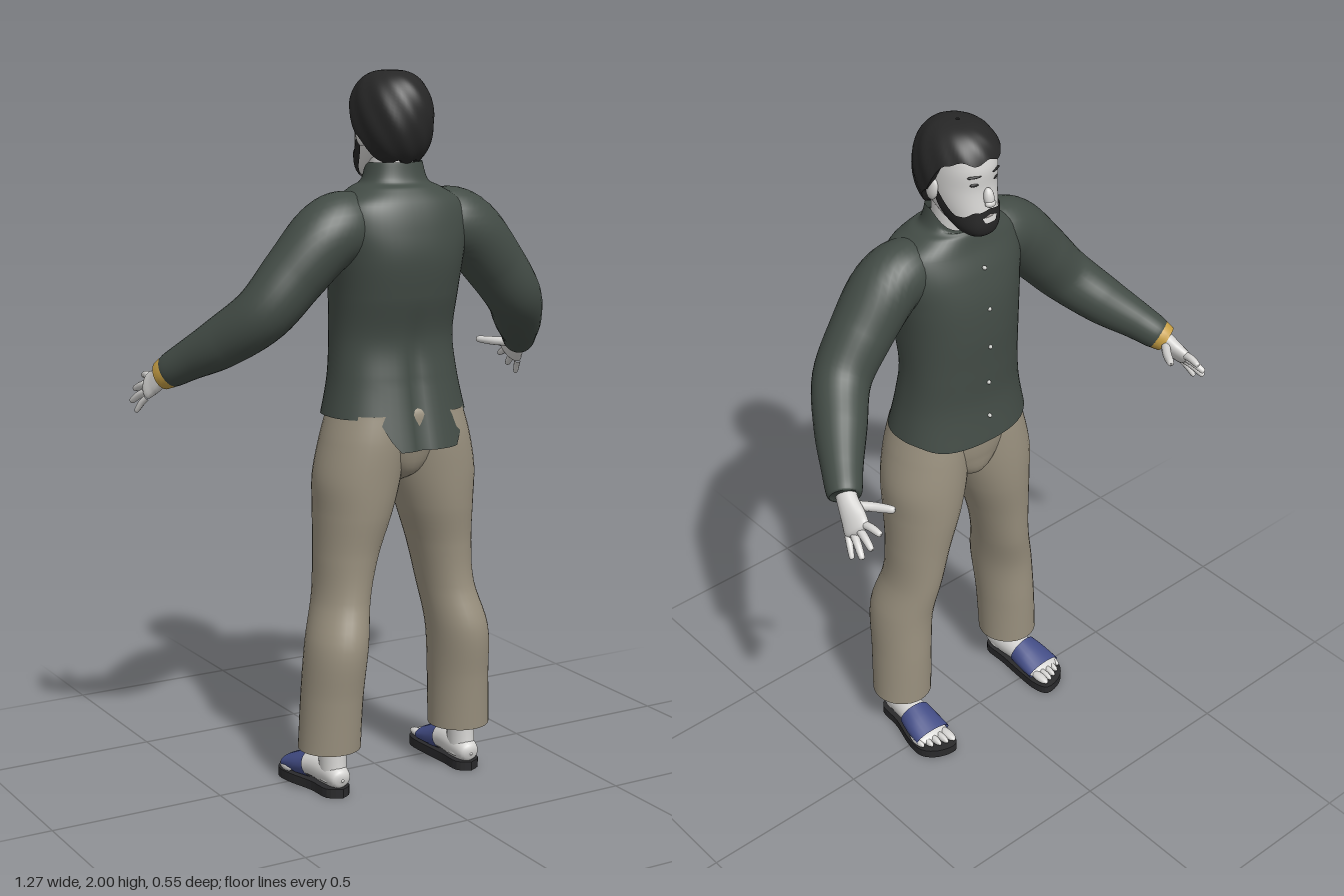
import * as THREE from 'three';
import { ParametricGeometry } from 'three/addons/geometries/ParametricGeometry.js';

const mat = (name, color, side = THREE.FrontSide) => {
  const m = new THREE.MeshStandardMaterial({ color, side });
  m.name = name;
  return m;
};
const X = new THREE.Vector3(1, 0, 0), Y = new THREE.Vector3(0, 1, 0);
const clamp = THREE.MathUtils.clamp, smooth = THREE.MathUtils.smoothstep;

// Smooth interpolation of cross-section rows [x, y, z, radiusU, radiusV]
function rowAt(rows, t) {
  const n = rows.length - 1, f = clamp(t, 0, 1) * n, i = Math.min(Math.floor(f), n - 1), k = f - i;
  const a = rows[Math.max(i - 1, 0)], b = rows[i], c = rows[i + 1], d = rows[Math.min(i + 2, n)];
  return b.map((_, j) => 0.5 * (2 * b[j] + (c[j] - a[j]) * k + (2 * a[j] - 5 * b[j] + 4 * c[j] - d[j]) * k * k
    + (3 * b[j] - a[j] - 3 * c[j] + d[j]) * k * k * k));
}

// Surface through the rows: level sections, or sections square to the path when an axis is given
function skin(rows, { axis = null, power = 2, warp = null } = {}) {
  return (u, v, out) => {
    const r = rowAt(rows, v), d = Y.clone();
    if (axis) {
      const p = rowAt(rows, v - 0.03), q = rowAt(rows, v + 0.03);
      d.set(q[0] - p[0], q[1] - p[1], q[2] - p[2]).normalize();
    }
    const a = (axis || X).clone();
    a.addScaledVector(d, -a.dot(d)).normalize();
    const b = d.clone().cross(a), th = u * Math.PI * 2, c = Math.cos(th), s = Math.sin(th);
    const k = Math.pow(Math.abs(c) ** power + Math.abs(s) ** power, -1 / power);
    out.set(r[0], r[1], r[2]).addScaledVector(a, c * k * r[3]).addScaledVector(b, s * k * r[4]);
    if (warp) warp(out, u, v);
  };
}

export function createModel() {
  const model = new THREE.Group();
  model.name = 'standingMan';
  const M = {
    shirt: mat('shirt green grey', 0x434c46, THREE.DoubleSide),
    pants: mat('trouser khaki', 0x9a917f, THREE.DoubleSide),
    skin: mat('skin', 0xd6d5d3),
    hair: mat('hair black', 0x272727, THREE.DoubleSide),
    sole: mat('sole black', 0x2a2a2c),
    strap: mat('strap blue', 0x434d86, THREE.DoubleSide),
    gold: mat('bracelet gold', 0xc79f45, THREE.DoubleSide),
    button: mat('button pale', 0xc8cac6),
    lip: mat('lip grey', 0xa39c9a),
  };
  const add = (name, geo, material) => {
    const m = new THREE.Mesh(geo, material);
    m.name = name;
    model.add(m);
    return m;
  };
  const loft = (name, rows, material, seg, stacks, opt) =>
    add(name, new ParametricGeometry(skin(rows, opt), seg, stacks), material);
  const blob = (name, x, y, z, rx, ry, rz, material) => {
    const m = add(name, new THREE.SphereGeometry(1, 14, 10), material);
    m.position.set(x, y, z);
    m.scale.set(rx, ry, rz);
    return m;
  };

  // Shirt body with a long tail at the back and a collar that dips in front
  loft('shirtBody', [
    [0, 1.07, 0.10, 0.208, 0.15], [0, 1.17, 0.096, 0.188, 0.133], [0, 1.28, 0.088, 0.178, 0.128],
    [0, 1.40, 0.10, 0.182, 0.145], [0, 1.50, 0.11, 0.193, 0.15], [0, 1.58, 0.115, 0.205, 0.137],
    [0, 1.645, 0.118, 0.19, 0.115], [0, 1.685, 0.11, 0.13, 0.095], [0, 1.705, 0.102, 0.095, 0.078],
    [0, 1.755, 0.098, 0.08, 0.07],
  ], M.shirt, 56, 60, {
    power: 2.3,
    warp: (p) => {
      const low = clamp((1.17 - p.y) / 0.1, 0, 1), back = smooth(p.z, 0.16, 0.2);
      const wide = 1 - smooth(Math.abs(p.x - 0.02), 0.09, 0.15);
      if (p.z > 0.15) p.z -= 0.014 * Math.exp(-((p.x / 0.025) ** 2)) * (1 - smooth(p.y, 1.1, 1.4));
      p.z += 0.022 * low * back * wide;
      p.y -= low * (0.088 * back * wide + 0.02 * smooth(-p.z, -0.05, 0.03));
      p.y -= 0.05 * smooth(p.y, 1.69, 1.755) * smooth(-p.z, -0.11, -0.03);
    },
  });
  for (const [y, z] of [[1.6, -0.021], [1.48, -0.041], [1.36, -0.045], [1.24, -0.039], [1.13, -0.044]])
    blob('shirtButton', 0, y, z, 0.006, 0.006, 0.007, M.button);

  // Trouser seat joining both legs
  loft('trouserSeat', [
    [0, 0.875, 0.10, 0.01, 0.03], [0, 0.91, 0.10, 0.07, 0.10], [0, 0.98, 0.105, 0.16, 0.125],
    [0, 1.05, 0.108, 0.195, 0.135], [0, 1.10, 0.10, 0.18, 0.125], [0, 1.12, 0.10, 0.01, 0.01],
  ], M.pants, 36, 20);

  for (const s of [-1, 1]) {
    const side = s > 0 ? 'left' : 'right';
    const flip = (rows) => rows.map(([x, ...rest]) => [x * s, ...rest]);

    // Trouser leg
    loft(side + 'TrouserLeg', flip([
      [0.214, 0.13, 0.115, 0.088, 0.09], [0.208, 0.28, 0.12, 0.085, 0.098], [0.197, 0.43, 0.128, 0.084, 0.107],
      [0.170, 0.56, 0.105, 0.077, 0.102], [0.152, 0.68, 0.10, 0.088, 0.108], [0.132, 0.80, 0.103, 0.108, 0.124],
      [0.12, 0.90, 0.106, 0.121, 0.131], [0.106, 1.0, 0.11, 0.114, 0.132], [0.095, 1.08, 0.11, 0.10, 0.125],
    ]), M.pants, 32, 40);

    // Sleeve
    loft(side + 'Sleeve', flip([
      [0.08, 1.59, 0.12, 0.06, 0.06], [0.15, 1.59, 0.12, 0.095, 0.09], [0.225, 1.56, 0.123, 0.098, 0.094],
      [0.315, 1.465, 0.115, 0.088, 0.088], [0.40, 1.365, 0.095, 0.08, 0.08], [0.475, 1.285, 0.01, 0.072, 0.07],
      [0.535, 1.23, -0.07, 0.057, 0.055], [0.572, 1.193, -0.125, 0.047, 0.045], [0.570, 1.195, -0.122, 0.03, 0.03],
    ]), M.shirt, 28, 48, { axis: new THREE.Vector3(s * 0.41, -0.74, 0.53) });

    // Hand, fingers spread from the knuckle line
    const spread = new THREE.Vector3(s * 0.41, -0.74, 0.53);
    loft(side + 'Palm', flip([
      [0.55, 1.215, -0.09, 0.033, 0.028], [0.575, 1.188, -0.14, 0.031, 0.025], [0.588, 1.16, -0.18, 0.04, 0.022],
      [0.60, 1.14, -0.21, 0.041, 0.017], [0.604, 1.133, -0.22, 0.004, 0.003],
    ]), M.skin, 18, 16, { axis: spread });
    const digit = (name, a, b, c, r) => loft(name, flip([
      [...a, r, r], [...b, r, r], [...c, r * 0.75, r * 0.75],
      [...c.map((e, i) => e + (c[i] - b[i]) * 0.12), r * 0.05, r * 0.05],
    ]), M.skin, 10, 10, { axis: spread });
    [[0.58, 1.16, -0.28], [0.608, 1.125, -0.277], [0.626, 1.095, -0.26], [0.63, 1.073, -0.222]].forEach((tip, i) => {
      const k = (i - 1.5) * 0.021;
      const base = [0.6 + 0.41 * k, 1.138 - 0.74 * k, -0.203 + 0.53 * k];
      const mid = base.map((e, j) => (e + tip[j]) / 2 + (j === 1 ? 0.004 : 0));
      digit(side + 'Finger', base, mid, tip, i === 3 ? 0.009 : 0.011);
    });
    digit(side + 'Thumb', [0.57, 1.178, -0.16], [0.535, 1.178, -0.2], [0.507, 1.18, -0.243], 0.013);

    // Ankle, foot and toes
    loft(side + 'Ankle', flip([
      [0.213, 0.04, 0.135, 0.037, 0.048], [0.213, 0.10, 0.13, 0.037, 0.046], [0.21, 0.2, 0.125, 0.042, 0.05],
    ]), M.skin, 18, 8);
    loft(side + 'Foot', flip([
      [0.213, 0.05, 0.19, 0.004, 0.004], [0.213, 0.052, 0.178, 0.03, 0.028], [0.214, 0.06, 0.12, 0.04, 0.042],
      [0.22, 0.06, 0.05, 0.044, 0.038], [0.225, 0.046, 0, 0.051, 0.027], [0.227, 0.04, -0.045, 0.053, 0.016],
      [0.227, 0.038, -0.06, 0.03, 0.006],
    ]), M.skin, 20, 28, { axis: X });
    for (let i = 0; i < 5; i++)
      blob(side + 'Toe', s * (0.19 + i * 0.0215), 0.04 - i * 0.001, -0.068 + i * i * 0.0024,
        i ? 0.0105 : 0.015, 0.012, i ? 0.033 : 0.037, M.skin);

    // Sandal: shaped sole and a broad strap
    const outline = new THREE.Shape(new THREE.SplineCurve([
      [0.213, -0.192], [0.252, -0.165], [0.26, -0.09], [0.284, 0], [0.284, 0.06], [0.245, 0.098],
      [0.19, 0.108], [0.17, 0.07], [0.17, 0], [0.176, -0.09], [0.178, -0.165], [0.213, -0.192],
    ].map(([x, y]) => new THREE.Vector2(x * s, y))).getPoints(44));
    const sole = new THREE.ExtrudeGeometry(outline, { depth: 0.026, bevelEnabled: false });
    add(side + 'SandalSole', sole.rotateX(-Math.PI / 2), M.sole);
    loft(side + 'SandalStrap', flip([
      [0.221, 0.062, 0.05, 0.05, 0.043], [0.225, 0.052, 0.005, 0.057, 0.036], [0.227, 0.043, -0.045, 0.06, 0.024],
    ]), M.strap, 24, 10, { axis: X });

    // Ear, eye and brow
    blob(side + 'Ear', s * 0.091, 1.83, 0.082, 0.012, 0.034, 0.021, M.skin).rotation.x = -0.2;
    blob(side + 'Eye', s * 0.034, 1.862, -0.021, 0.014, 0.0055, 0.005, M.hair).rotation.y = s * -0.3;
    blob(side + 'Brow', s * 0.036, 1.885, -0.022, 0.021, 0.004, 0.005, M.hair).rotation.y = s * -0.35;
  }

  // Bracelet on the right wrist
  loft('bracelet', [[-0.567, 1.198, -0.117, 0.047, 0.045], [-0.577, 1.188, -0.132, 0.046, 0.043],
    [-0.586, 1.179, -0.146, 0.042, 0.038]], M.gold, 24, 4, { axis: new THREE.Vector3(-0.41, -0.74, 0.53) });

  // Neck and head
  loft('neck', [[0, 1.62, 0.11, 0.068, 0.062], [0, 1.72, 0.098, 0.066, 0.06], [0, 1.82, 0.095, 0.068, 0.065]],
    M.skin, 24, 8);
  const headRows = [
    [0, 1.702, 0.01, 0.003, 0.003], [0, 1.71, 0.005, 0.034, 0.036], [0, 1.735, 0.025, 0.06, 0.067],
    [0, 1.78, 0.065, 0.078, 0.102], [0, 1.84, 0.085, 0.087, 0.115], [0, 1.90, 0.085, 0.087, 0.116],
    [0, 1.95, 0.09, 0.078, 0.10], [0, 1.98, 0.09, 0.03, 0.04],
  ];
  const head = skin(headRows, { power: 2.2 });
  add('head', new ParametricGeometry(head, 40, 36), M.skin);
  blob('nose', 0, 1.82, -0.038, 0.015, 0.028, 0.014, M.skin).rotation.x = 0.2;
  blob('noseTip', 0, 1.806, -0.044, 0.017, 0.011, 0.012, M.skin);
  blob('mouth', 0, 1.768, -0.036, 0.022, 0.006, 0.006, M.lip);

  // Facial hair: patches lying just outside the head, given by width and row limits
  const facePatch = (name, half, low, high) => add(name, new ParametricGeometry((u, v, out) => {
    const a = 0.25 + (u * 2 - 1) * half, w = Math.abs(a - 0.25);
    const t = THREE.MathUtils.lerp(low(w), high(w), v) / 7, r = rowAt(headRows, t);
    head(a, t, out);
    out.x *= 1.05;
    out.z = r[2] + (out.z - r[2]) * 1.06;
    out.y -= 0.004 * (1 - v);
  }, 48, 12), M.hair);
  facePatch('beard', 0.245, (w) => 0.1 + 8 * Math.max(0, w - 0.05),
    (w) => 2.4 + 0.7 * smooth(w, 0.035, 0.065) - 0.25 * smooth(w, 0.08, 0.14) + 1.3 * smooth(w, 0.17, 0.24));
  facePatch('moustache', 0.065, (w) => 2.95 - 3 * w, (w) => 3.18 - 2 * w);

  // Hair cap: low at the nape, lifted over the face, with an inner lip
  add('hair', new ParametricGeometry((u, v, out) => {
    const th = u * Math.PI * 2, front = Math.sin(th);
    const edge = 1.755 + 0.075 * smooth(front, -0.55, -0.05) + 0.095 * smooth(front, -0.05, 0.5)
      + 0.006 * Math.sin(th * 9);
    const t = Math.max(0, (v - 0.06) / 0.94);
    const low = Math.asin(clamp((edge - 1.865) / 0.133, -0.85, 1));
    const e = THREE.MathUtils.lerp(low, Math.PI / 2 - 0.01, t);
    const wave = 1 + 0.012 * Math.sin(th * 11 + e * 7) * Math.cos(e);
    const k = (v < 0.03 ? 0.8 : 1) * wave * Math.pow(Math.cos(e), 0.7);
    out.set(Math.cos(th) * 0.112 * k, 1.865 + Math.sin(e) * 0.133, 0.085 - front * 0.134 * k);
  }, 66, 34), M.hair);

  return model;
}
